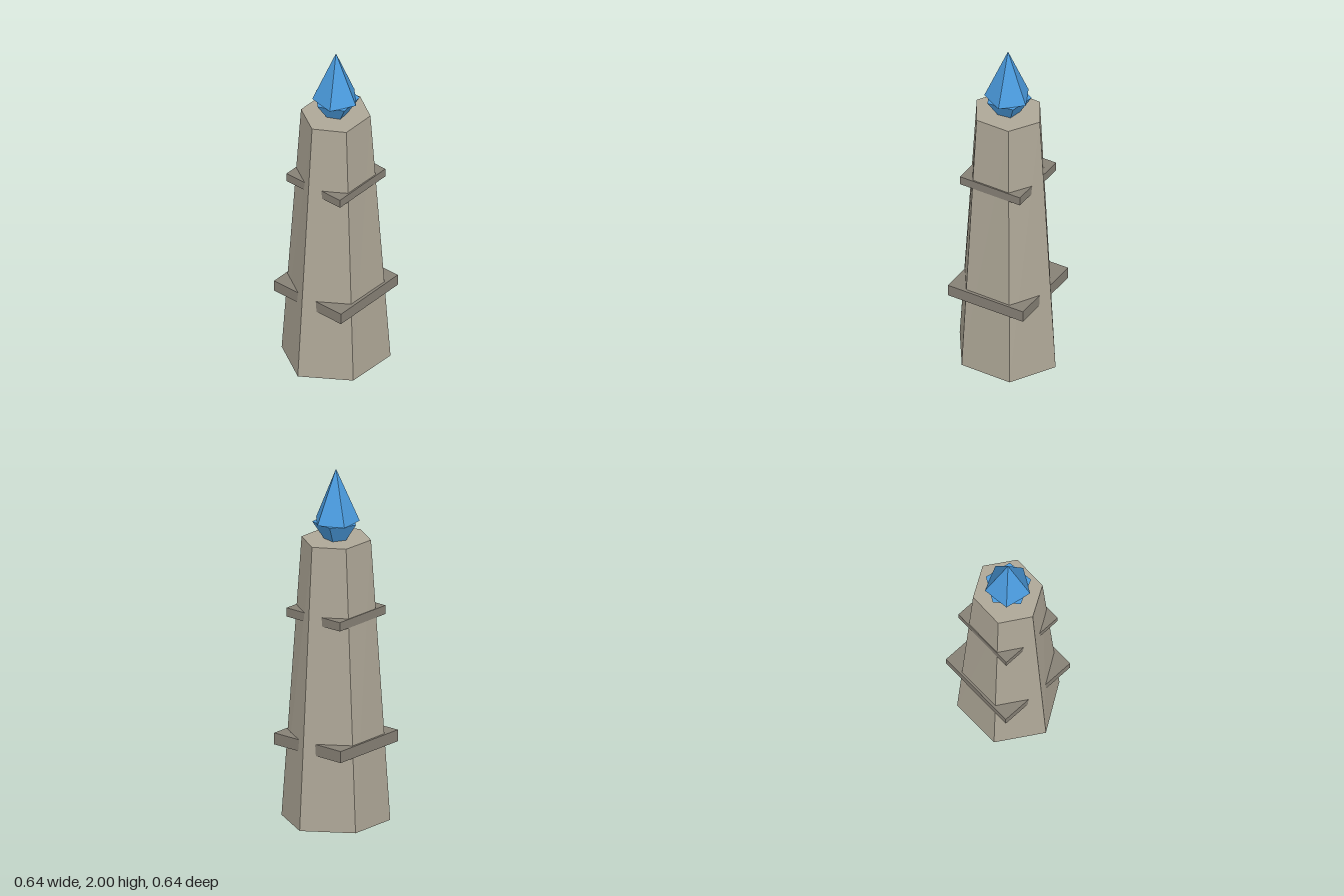
import * as THREE from 'three';

const stone = new THREE.MeshStandardMaterial({ name: 'stone', color: 0xaea797, flatShading: true });
const bandStone = new THREE.MeshStandardMaterial({ name: 'darkStone', color: 0x878176, flatShading: true });
const crystalBlue = new THREE.MeshStandardMaterial({ name: 'crystalBlue', color: 0x4b9cdf, flatShading: true });

function addPart(parent, name, geometry, material, y, turn = 0) {
  const mesh = new THREE.Mesh(geometry, material);
  mesh.name = name;
  mesh.position.y = y;
  mesh.rotation.y = turn;
  parent.add(mesh);
}

// Closed solid between two rings of [x, z] corners
function loftRings(lower, y0, upper, y1) {
  const n = lower.length, pos = [];
  const lo = i => [lower[i % n][0], y0, lower[i % n][1]];
  const hi = i => [upper[i % n][0], y1, upper[i % n][1]];
  const tri = (a, b, c) => pos.push(...a, ...b, ...c);
  for (let i = 0; i < n; i++) {
    tri(lo(i), lo(i + 1), hi(i + 1));
    tri(lo(i), hi(i + 1), hi(i));
    tri([0, y1, 0], hi(i), hi(i + 1));
    tri([0, y0, 0], lo(i + 1), lo(i));
  }
  const geometry = new THREE.BufferGeometry();
  geometry.setAttribute('position', new THREE.Float32BufferAttribute(pos, 3));
  geometry.computeVertexNormals();
  return geometry;
}

export function createModel() {
  const model = new THREE.Group();
  model.name = 'crystalObelisk';

  // Slightly uneven six-sided tapering column
  const foot = [[-0.009, 0.285], [0.262, 0.142], [0.265, -0.144], [-0.005, -0.286], [-0.26, -0.144], [-0.276, 0.142]];
  const head = [[-0.0125, 0.19], [0.164, 0.094], [0.176, -0.097], [0.014, -0.192], [-0.166, -0.097], [-0.175, 0.094]];
  addPart(model, 'column', loftRings(foot, 0, head, 1.602), stone, 0);

  // Square slabs whose corners poke out of the column
  addPart(model, 'lowerBand', new THREE.BoxGeometry(0.475, 0.066, 0.475), bandStone, 0.46, 0.5);
  addPart(model, 'upperBand', new THREE.BoxGeometry(0.38, 0.05, 0.38), bandStone, 1.184, 0.5);

  // Crystal: two five-sided points set base to base, turned against each other
  const crystal = new THREE.Group();
  crystal.name = 'crystal';
  addPart(crystal, 'crystalTip', new THREE.ConeGeometry(0.129, 0.3, 5), crystalBlue, 1.85, Math.PI);
  addPart(crystal, 'crystalRoot', new THREE.CylinderGeometry(0.129, 0, 0.2, 5), crystalBlue, 1.6);
  model.add(crystal);

  return model;
}
